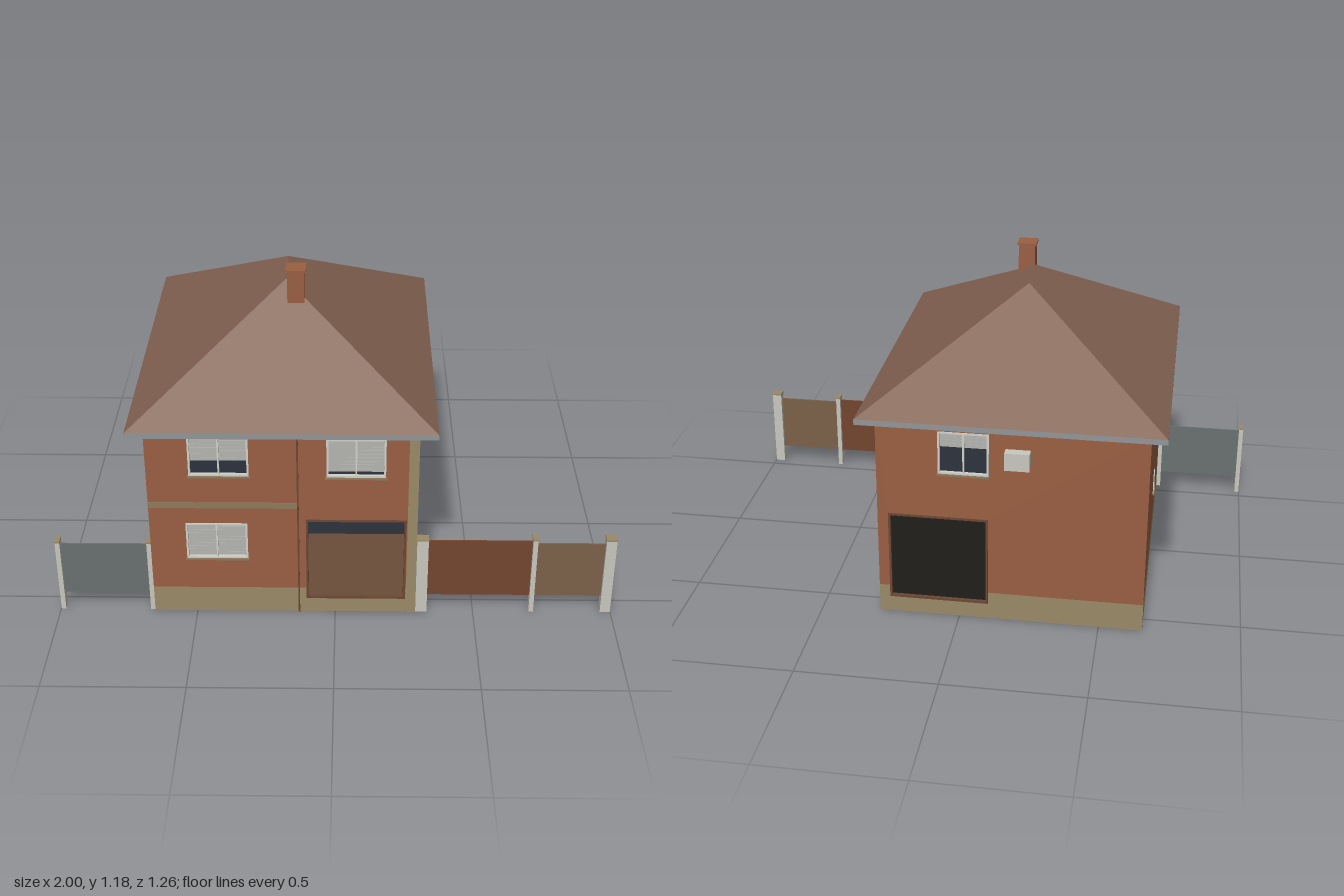
import * as THREE from 'three';

const mat = (color) => new THREE.MeshStandardMaterial({ color, flatShading: true, side: THREE.DoubleSide });
const M = {
  brick: mat(0x9a5f42), stone: mat(0x9a8a67), roof: mat(0x80604f), eaves: mat(0x929699),
  frame: mat(0xd2d2cc), blind: mat(0xb4b4b0), glass: mat(0x2c323d), door: mat(0x75553f),
  trim: mat(0x8d7a5c), dark: mat(0x1f1e1b), post: mat(0xc8c8be), greyPanel: mat(0x697170),
  redPanel: mat(0x74452f), tanPanel: mat(0x7c6148), pipe: mat(0x6b4735),
};

function add(parent, name, geometry, material) {
  const mesh = new THREE.Mesh(geometry, material);
  mesh.name = name;
  parent.add(mesh);
  return mesh;
}

// Box given by its limits on each axis
function box(parent, name, material, x0, x1, y0, y1, z0, z1) {
  const mesh = add(parent, name, new THREE.BoxGeometry(x1 - x0, y1 - y0, z1 - z0), material);
  mesh.position.set((x0 + x1) / 2, (y0 + y1) / 2, (z0 + z1) / 2);
  return mesh;
}

function rectPath(PathType, [x0, x1, y0, y1]) {
  return new PathType([[x0, y0], [x1, y0], [x1, y1], [x0, y1]].map((p) => new THREE.Vector2(...p)));
}

// Wall facing local +z: stone base below, brick above, window holes and an optional doorway
function wall(parent, name, x0, x1, windows, doorway) {
  const g = new THREE.Group();
  g.name = name;
  parent.add(g);
  const base = 0.105, top = 0.76;
  const stone = [[x0, 0], [x1, 0], [x1, base]];
  const brick = [[x1, base], [x1, top], [x0, top], [x0, base]];
  if (doorway) {
    const [a, b, low, high] = doorway;
    stone.push([b, base], [b, low], [a, low], [a, base]);
    brick.push([a, base], [a, high], [b, high], [b, base]);
  }
  stone.push([x0, base]);
  const shape = (pts) => new THREE.Shape(pts.map((p) => new THREE.Vector2(...p)));
  const brickShape = shape(brick);
  brickShape.holes = windows.map((w) => rectPath(THREE.Path, w.rect));
  add(g, 'stoneBase', new THREE.ShapeGeometry(shape(stone)), M.stone);
  add(g, 'brickWall', new THREE.ShapeGeometry(brickShape), M.brick);
  windows.forEach((w) => addWindow(g, w));
  return g;
}

// Frame, glass, optional mullion and slatted blind, and a sill
function addWindow(parent, { rect, blindTo, panes = 1 }) {
  const g = new THREE.Group();
  g.name = 'window';
  parent.add(g);
  const [x0, x1, y0, y1] = rect, t = 0.007;
  const frame = rectPath(THREE.Shape, rect);
  frame.holes.push(rectPath(THREE.Path, [x0 + t, x1 - t, y0 + t, y1 - t]));
  const frameMesh = add(g, 'windowFrame',
    new THREE.ExtrudeGeometry(frame, { depth: 0.016, bevelEnabled: false }), M.frame);
  frameMesh.position.z = -0.013;
  box(g, 'glass', M.glass, x0 + t, x1 - t, y0 + t, y1 - t, -0.012, -0.009);
  if (blindTo !== undefined) {
    const count = Math.max(2, Math.round((y1 - t - blindTo) / 0.014));
    const step = (y1 - t - blindTo) / count;
    for (let i = 0; i < count; i++) {
      const y = blindTo + i * step;
      box(g, 'blindSlat', M.blind, x0 + t, x1 - t, y + 0.0008, y + step, -0.009, -0.007);
    }
  }
  for (let i = 1; i < panes; i++) {
    const x = x0 + ((x1 - x0) * i) / panes;
    box(g, 'mullion', M.frame, x - 0.003, x + 0.003, y0 + t, y1 - t, -0.012, 0.001);
  }
  box(g, 'sill', M.trim, x0 - 0.004, x1 + 0.004, y0 - 0.007, y0, -0.008, 0.007);
}

// Thin border around a doorway
function doorFrame(parent, [x0, x1, y0, y1]) {
  const t = 0.008;
  const s = rectPath(THREE.Shape, [x0, x1, y0, y1]);
  s.holes.push(rectPath(THREE.Path, [x0 + t, x1 - t, y0 + t, y1 - t]));
  const m = add(parent, 'doorFrame', new THREE.ExtrudeGeometry(s, { depth: 0.018, bevelEnabled: false }), M.pipe);
  m.position.z = -0.015;
}

// Hipped roof with a short ridge, built from four slopes
function hippedRoof(parent) {
  const y = 0.78, top = 1.11, rx = -0.18;
  const a = [-0.71, y, 0.63], b = [0.35, y, 0.63], c = [0.35, y, -0.63], d = [-0.71, y, -0.63];
  const f = [rx, top, 0.1], k = [rx, top, -0.1];
  const tris = [a, b, f, b, c, k, b, k, f, c, d, k, d, a, f, d, f, k];
  const geo = new THREE.BufferGeometry();
  geo.setAttribute('position', new THREE.Float32BufferAttribute(tris.flat(), 3));
  geo.computeVertexNormals();
  add(parent, 'hippedRoof', geo, M.roof);
}

// Fence post with a small cap
function post(parent, x0, x1, h, z0, z1) {
  box(parent, 'fencePost', M.post, x0, x1, 0, h - 0.006, z0, z1);
  box(parent, 'postCap', M.stone, x0 - 0.001, x1 + 0.001, h - 0.006, h, z0 - 0.002, z1 + 0.002);
}

export function createModel() {
  const model = new THREE.Group();
  model.name = 'house';
  const L = -0.655, R = 0.29, Z = 0.575;
  const garage = [-0.103, 0.252, 0.06, 0.4];

  // Front wall with garage door, band, corner strip and downpipe
  const front = wall(model, 'frontWall', L, R, [
    { rect: [-0.507, -0.298, 0.58, 0.737], blindTo: 0.637, panes: 2 },
    { rect: [-0.527, -0.309, 0.235, 0.383], blindTo: 0.242, panes: 2 },
    { rect: [-0.03, 0.176, 0.577, 0.73], blindTo: 0.595, panes: 2 },
  ], garage);
  front.position.z = Z;
  doorFrame(front, garage);
  box(front, 'garageDoor', M.door, -0.096, 0.245, 0.067, 0.335, -0.014, -0.009);
  box(front, 'garageTopLight', M.glass, -0.096, 0.245, 0.335, 0.393, -0.014, -0.009);
  box(front, 'wallBand', M.trim, L, -0.13, 0.447, 0.47, 0, 0.003);
  box(front, 'cornerStrip', M.stone, 0.255, R, 0, 0.76, 0, 0.002);
  box(front, 'downpipe', M.pipe, -0.133, -0.127, 0, 0.76, 0, 0.004);

  // Back wall: its local x is mirrored
  const backDoor = [-0.252, 0.103, 0.06, 0.4];
  const back = wall(model, 'backWall', -R, -L,
    [{ rect: [-0.072, 0.106, 0.57, 0.73], blindTo: 0.67, panes: 2 }], backDoor);
  back.position.z = -Z;
  back.rotation.y = Math.PI;
  doorFrame(back, backDoor);
  box(back, 'backDoor', M.dark, -0.245, 0.096, 0.067, 0.393, -0.014, -0.009);
  box(back, 'airConditioner', M.post, 0.163, 0.25, 0.615, 0.68, 0, 0.035);

  // Side walls, each with one small window
  for (const [name, x, turn, y] of [['leftWall', R, 1, 0.622], ['rightWall', L, -1, 0.265]]) {
    const side = wall(model, name, -Z, Z, [{ rect: [-0.034, 0.034, y, y + 0.072] }]);
    side.position.x = x;
    side.rotation.y = turn * Math.PI / 2;
  }

  // Eaves, roof and chimney
  box(model, 'eaves', M.eaves, -0.71, 0.35, 0.76, 0.78, -0.63, 0.63);
  hippedRoof(model);
  box(model, 'chimney', M.brick, -0.173, -0.112, 1.0, 1.175, 0.128, 0.187);
  box(model, 'chimneyCap', M.brick, -0.178, -0.107, 1.175, 1.182, 0.122, 0.193);

  // Fences either side of the house
  const fence = new THREE.Group();
  fence.name = 'fence';
  model.add(fence);
  post(fence, -0.999, -0.982, 0.295, 0.535, 0.57);
  post(fence, -0.672, -0.656, 0.295, 0.545, 0.57);
  post(fence, 0.291, 0.332, 0.317, 0.545, 0.575);
  post(fence, 0.703, 0.72, 0.317, 0.535, 0.57);
  post(fence, 0.962, 0.999, 0.317, 0.535, 0.57);
  box(fence, 'greyPanel', M.greyPanel, -0.982, -0.672, 0.065, 0.277, 0.55, 0.556);
  box(fence, 'redPanel', M.redPanel, 0.332, 0.703, 0.065, 0.3, 0.55, 0.556);
  box(fence, 'tanPanel', M.tanPanel, 0.72, 0.962, 0.065, 0.29, 0.55, 0.556);

  return model;
}
